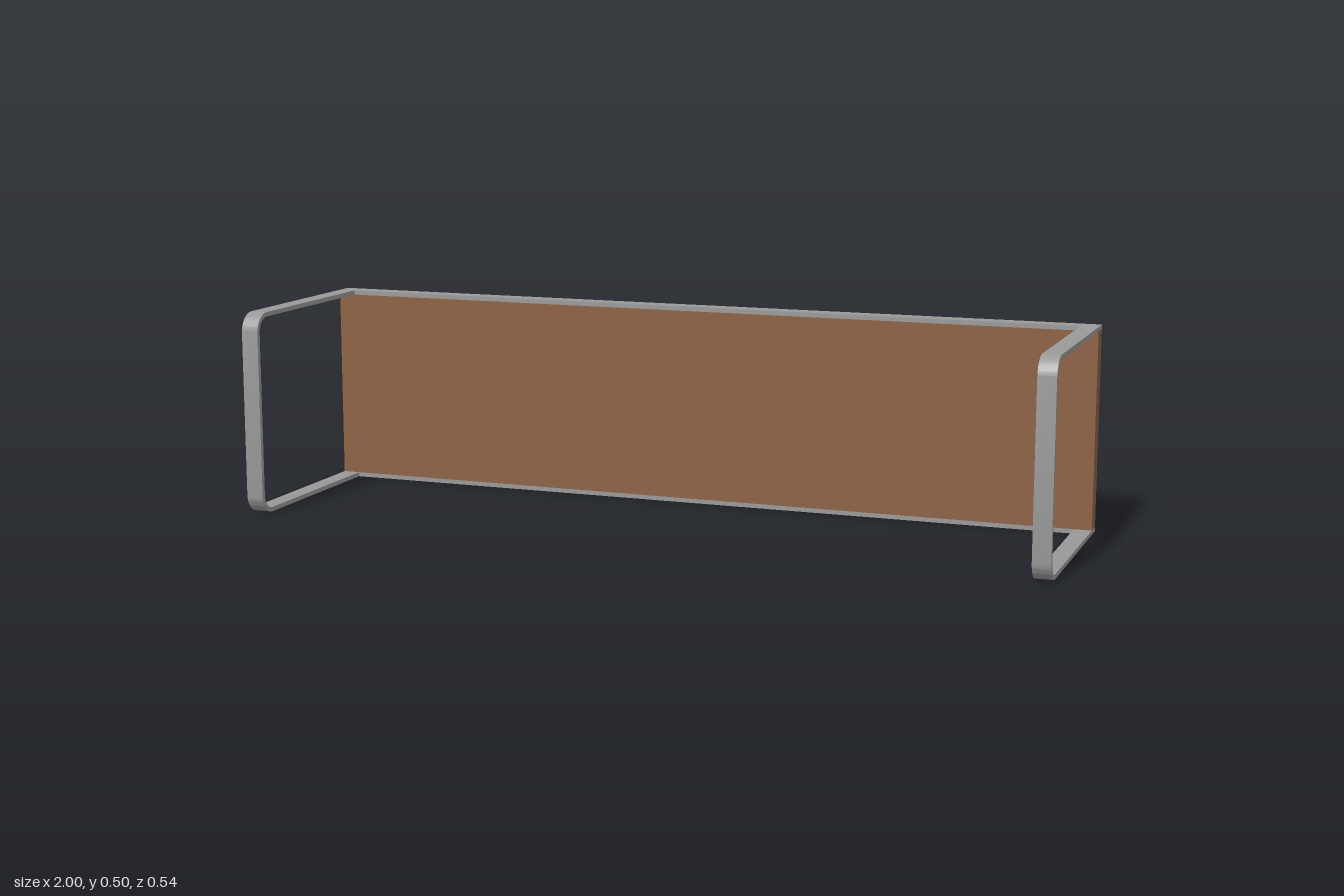
import * as THREE from 'three';
import { toCreasedNormals } from 'three/addons/utils/BufferGeometryUtils.js';

const H = 0.5, Z = 0.272;   // height and half depth
const BAR = 0.043;          // flat bar width
const T = 0.011;            // flat bar thickness
const R = 0.048;            // outer bend radius

// Side profile of the bent flat bar, drawn as (z, y)
function barProfile() {
  const s = new THREE.Shape();
  const q = Math.PI / 2, r = R - T;
  s.moveTo(-Z, 0);
  s.lineTo(Z - R, 0);
  s.absarc(Z - R, R, R, -q, 0, false);
  s.absarc(Z - R, H - R, R, 0, q, false);
  s.lineTo(-Z, H);
  s.lineTo(-Z, H - T);
  s.absarc(Z - R, H - R, r, q, 0, true);
  s.absarc(Z - R, R, r, 0, -q, true);
  s.lineTo(-Z, T);
  s.closePath();
  return s;
}

export function createModel() {
  const group = new THREE.Group();
  const wood = new THREE.MeshStandardMaterial({ name: 'brown wood', color: 0x8b6142 });
  const metal = new THREE.MeshStandardMaterial({ name: 'grey metal', color: 0x999999 });

  const add = (name, geometry, material, x, y, z) => {
    const mesh = new THREE.Mesh(geometry, material);
    mesh.name = name;
    mesh.position.set(x, y, z);
    group.add(mesh);
  };

  // Wooden back board
  add('backPanel', new THREE.BoxGeometry(2, H - 2 * T, BAR), wood, 0, H / 2, -Z + BAR / 2);

  // Bent end frames
  let frame = new THREE.ExtrudeGeometry(barProfile(), { depth: BAR, bevelEnabled: false, curveSegments: 12 });
  frame.rotateY(-Math.PI / 2);
  frame = toCreasedNormals(frame, 0.6);
  add('leftEndFrame', frame, metal, 1, 0, 0);
  add('rightEndFrame', frame, metal, -1 + BAR, 0, 0);

  // Long strips above and below the board
  const rail = new THREE.BoxGeometry(2 - 2 * BAR, T, BAR);
  add('topRail', rail, metal, 0, H - T / 2, -Z + BAR / 2);
  add('bottomRail', rail, metal, 0, T / 2, -Z + BAR / 2);

  return group;
}
